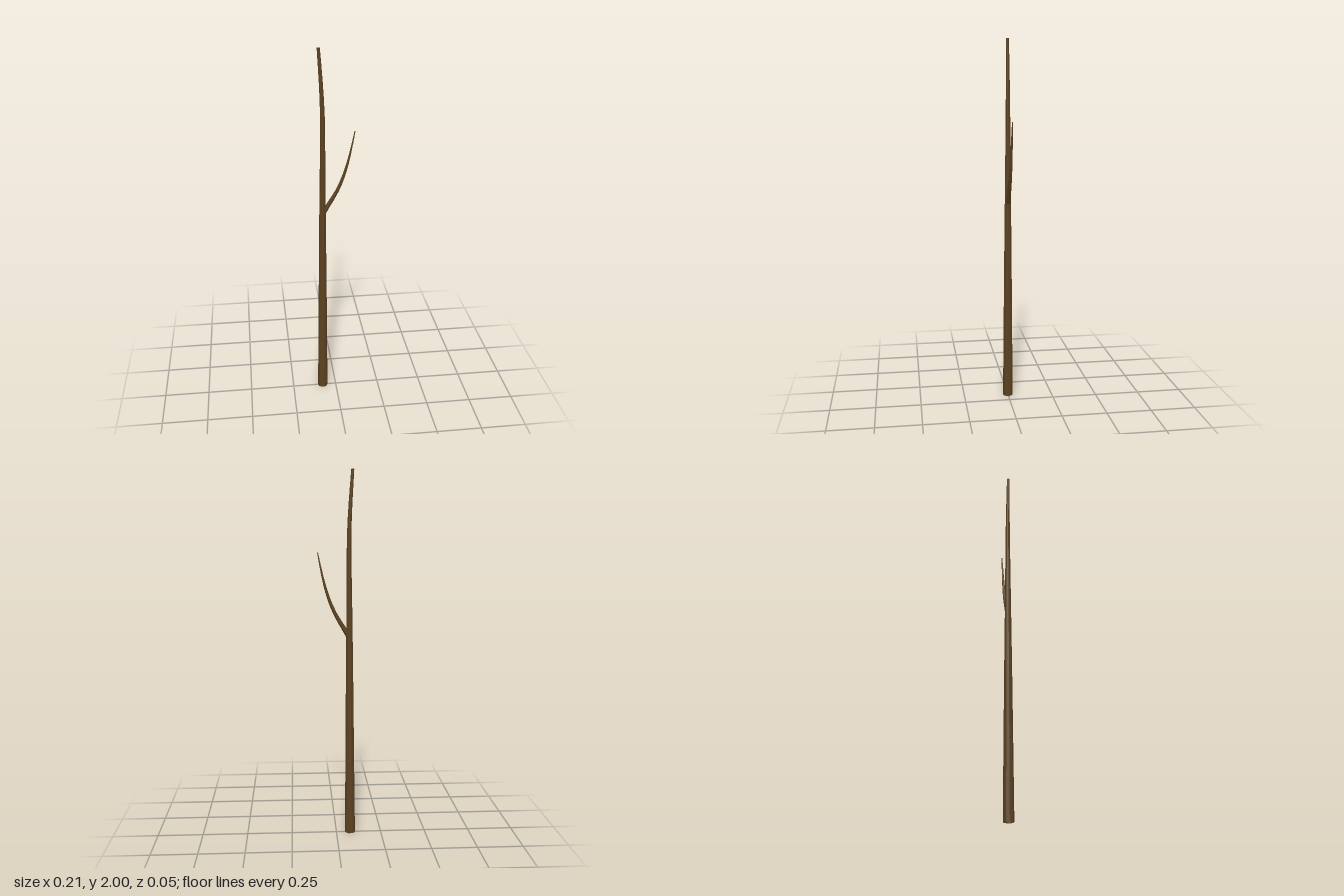
import * as THREE from 'three';

const SIDES = 10;

// Open tapered limb: horizontal or tilted rings swept along a curve in the x/y plane.
// Each key is [x, y, radius].
function limb(name, keys, rings, level, material) {
  const path = new THREE.CatmullRomCurve3(keys.map(([x, y]) => new THREE.Vector3(x, y, 0)));
  const radii = new THREE.CatmullRomCurve3(keys.map(([, , r]) => new THREE.Vector3(r, 0, 0)));
  const positions = [];
  const index = [];
  for (let i = 0; i <= rings; i++) {
    const t = i / rings;
    const p = path.getPoint(t);
    const r = radii.getPoint(t).x;
    const d = level ? new THREE.Vector3(0, 1, 0) : path.getTangent(t);
    for (let j = 0; j < SIDES; j++) {
      const a = (j / SIDES) * Math.PI * 2;
      const u = Math.cos(a) * r;
      positions.push(p.x + d.y * u, p.y - d.x * u, Math.sin(a) * r);
      if (i < rings) {
        const k = (j + 1) % SIDES;
        const a0 = i * SIDES + j, b0 = i * SIDES + k;
        index.push(a0, a0 + SIDES, b0, b0, a0 + SIDES, b0 + SIDES);
      }
    }
  }
  const geometry = new THREE.BufferGeometry();
  geometry.setAttribute('position', new THREE.Float32BufferAttribute(positions, 3));
  geometry.setIndex(index);
  geometry.computeVertexNormals();
  const mesh = new THREE.Mesh(geometry, material);
  mesh.name = name;
  return mesh;
}

export function createModel() {
  const group = new THREE.Group();
  group.name = 'bareTree';
  const bark = new THREE.MeshStandardMaterial({
    color: 0x5a4120, flatShading: true, side: THREE.DoubleSide,
  });

  // Trunk: nearly straight, bending sideways near the tip
  group.add(limb('trunk', [
    [-0.077, 0, 0.028],
    [-0.074, 0.42, 0.0245],
    [-0.072, 0.8, 0.021],
    [-0.070, 1.2, 0.0165],
    [-0.067, 1.65, 0.012],
    [-0.074, 1.83, 0.010],
    [-0.085, 2, 0.008],
  ], 12, true, bark));

  // Single side branch, curving upward to a thin tip
  group.add(limb('branch', [
    [-0.068, 1.115, 0.0135],
    [-0.045, 1.155, 0.0125],
    [0.008, 1.245, 0.010],
    [0.045, 1.335, 0.008],
    [0.075, 1.445, 0.0055],
    [0.1, 1.57, 0.0025],
  ], 10, false, bark));

  return group;
}
